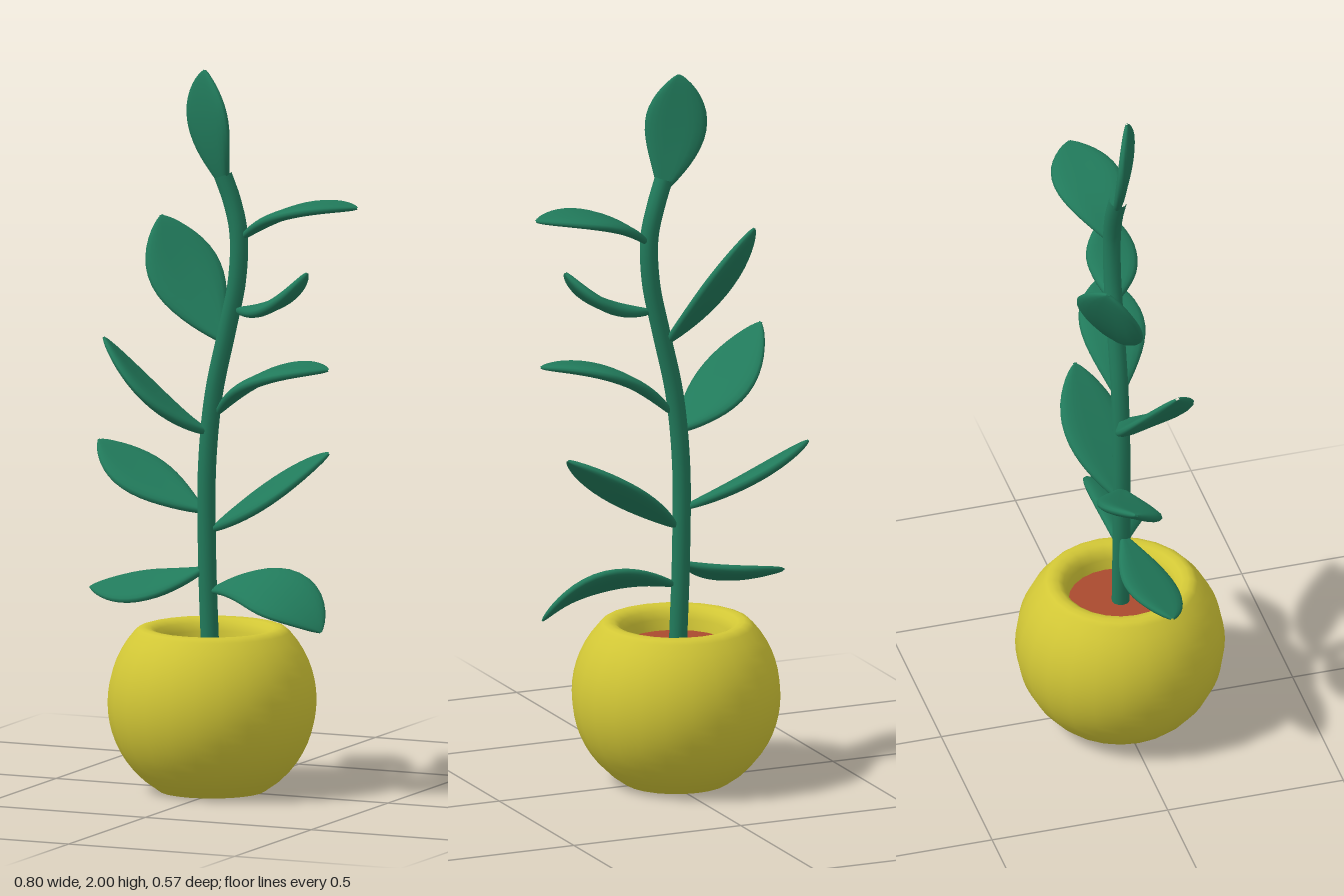
import * as THREE from 'three';

const V = (a) => new THREE.Vector3(...a);

// Padded leaf: elliptical sections swept from base to tip along a curve
function leafGeometry(base, bend, tip, across, halfWidth, halfThick) {
  const curve = new THREE.QuadraticBezierCurve3(V(base), V(bend), V(tip));
  const rings = 22, sides = 20, pos = [], index = [];
  for (let i = 0; i <= rings; i++) {
    const t = (1 - Math.cos((Math.PI * i) / rings)) / 2;
    const p = curve.getPoint(t), T = curve.getTangent(t);
    const W = V(across).addScaledVector(T, -V(across).dot(T)).normalize();
    const N = new THREE.Vector3().crossVectors(T, W);
    const w = halfWidth * Math.max(0.02, Math.sin(Math.PI * Math.pow(t, 1.3))) ** 0.75;
    const h = Math.min(halfThick * Math.max(0.01, Math.sin(Math.PI * t)) ** 0.4, w);
    for (let j = 0; j < sides; j++) {
      const a = (2 * Math.PI * j) / sides, s = Math.sin(a);
      // slightly hollow middle, full rim
      const n = h * s * (1.15 - 0.4 * Math.abs(s) ** 3);
      const q = p.clone().addScaledVector(W, w * Math.cos(a)).addScaledVector(N, n);
      pos.push(q.x, q.y, q.z);
      if (i < rings) {
        const k = (j + 1) % sides, b = i * sides, c = b + sides;
        index.push(b + j, b + k, c + j, b + k, c + k, c + j);
      }
    }
  }
  const g = new THREE.BufferGeometry();
  g.setAttribute('position', new THREE.Float32BufferAttribute(pos, 3));
  g.setIndex(index);
  g.computeVertexNormals();
  return g;
}

export function createModel() {
  const group = new THREE.Group();
  const material = (name, color) => {
    const m = new THREE.MeshStandardMaterial({ color });
    m.name = name;
    return m;
  };
  const green = material('leaf green', 0x217a5b);
  const yellow = material('pot yellow', 0xd2c736);
  const earth = material('soil red brown', 0xaa4a2e);
  const add = (name, geometry, mat, x = 0, y = 0, z = 0) => {
    const mesh = new THREE.Mesh(geometry, mat);
    mesh.name = name;
    mesh.position.set(x, y, z);
    group.add(mesh);
    return mesh;
  };

  // Round pot: truncated sphere with a rolled lip
  const R = 0.287, cy = 0.25, potX = -0.03;
  const profile = [];
  for (let i = 0; i <= 16; i++) {
    const y = i / 16 * 0.44 + 0.003;
    profile.push(new THREE.Vector2(Math.sqrt(R * R - (y - cy) ** 2), y));
  }
  for (const [r, y] of [[0.202, 0.452], [0.188, 0.456], [0.17, 0.453], [0.155, 0.442], [0.145, 0.42], [0.138, 0.37]])
    profile.push(new THREE.Vector2(r, y));
  add('pot', new THREE.LatheGeometry(profile, 24), yellow, potX);
  add('potBase', new THREE.CircleGeometry(0.146, 24).rotateX(Math.PI / 2), yellow, potX, 0.003);
  add('soil', new THREE.CircleGeometry(0.142, 24).rotateX(-Math.PI / 2), earth, potX, 0.39);

  // Curving stem
  const stem = new THREE.CatmullRomCurve3([
    [-0.035, 0.37, 0], [-0.045, 0.65, 0], [-0.045, 0.9, 0], [-0.025, 1.1, 0], [0.015, 1.28, 0],
    [0.045, 1.42, 0], [0.05, 1.55, 0], [0.03, 1.64, 0], [0.005, 1.71, 0.005],
  ].map(V));
  add('stem', new THREE.TubeGeometry(stem, 48, 0.025, 12), green);

  // Leaves: base, bend point, tip, direction across, half width, half thickness
  const leaves = [
    ['topLeaf', [0.02, 1.66, 0], [-0.05, 1.83, 0.02], [-0.045, 2.0, 0.015], [0.87, 0.1, 0.42], 0.085, 0.02],
    ['leftLeaf1', [0.05, 1.53, 0], [0.18, 1.65, -0.02], [0.4, 1.64, -0.02], [0, 0, 1], 0.097, 0.02],
    ['leftLeaf2', [0.035, 1.34, 0], [0.19, 1.33, 0.05], [0.28, 1.465, 0.05], [0, -0.05, 1], 0.072, 0.022],
    ['leftLeaf3', [-0.02, 1.04, 0], [0.11, 1.2, 0.03], [0.35, 1.2, 0.06], [-0.1, -0.1, 1], 0.092, 0.022],
    ['leftLeaf4', [-0.035, 0.72, 0], [0.1, 0.81, -0.02], [0.31, 0.955, -0.03], [0.15, -0.28, 0.95], 0.1, 0.022],
    ['leftLeaf5', [-0.045, 0.55, 0], [0.19, 0.64, 0.05], [0.335, 0.475, 0.08], [-0.2, -0.5, 0.85], 0.098, 0.02],
    ['rightLeaf1', [0.01, 1.24, 0], [-0.13, 1.38, -0.06], [-0.225, 1.57, -0.09], [-0.55, -0.4, 0.73], 0.105, 0.022],
    ['rightLeaf2', [-0.03, 0.99, 0], [-0.17, 1.04, 0.05], [-0.32, 1.25, 0.08], [0.25, 0.05, 0.95], 0.11, 0.022],
    ['rightLeaf3', [-0.045, 0.77, 0], [-0.24, 0.83, -0.04], [-0.4, 0.94, -0.06], [-0.15, -0.3, 0.93], 0.092, 0.022],
    ['rightLeaf4', [-0.04, 0.62, 0], [-0.19, 0.545, 0.03], [-0.375, 0.55, 0.05], [0.1, -0.35, 0.93], 0.085, 0.02],
  ];
  for (const [name, ...spec] of leaves) add(name, leafGeometry(...spec), green);

  return group;
}
